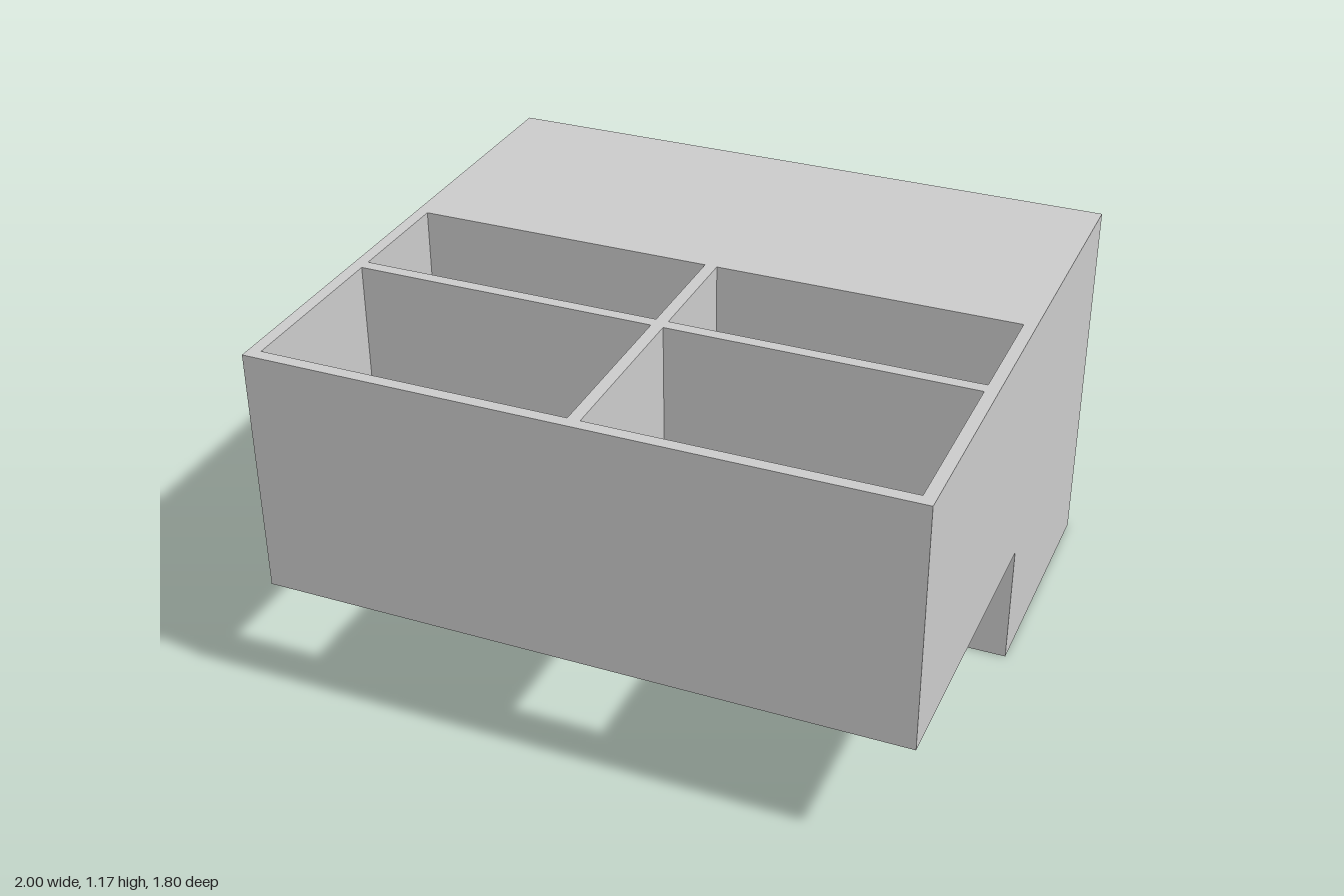
import * as THREE from 'three';

const T = 0.038;          // board thickness
const W = 2, H = 1.175;   // overall width and height
const TRAY_Y = 0.395;     // underside of the tray
const FRONT = 0.9, BACK = -0.9, STEP = -0.1; // z of front, back and the step

export function createModel() {
  const group = new THREE.Group();
  const material = new THREE.MeshStandardMaterial({ color: 0xcccccc });

  const add = (name, geometry) => {
    const mesh = new THREE.Mesh(geometry, material);
    mesh.name = name;
    group.add(mesh);
    return mesh;
  };
  // Board given by its extents on each axis
  const board = (name, [x0, x1], [y0, y1], [z0, z1]) =>
    add(name, new THREE.BoxGeometry(x1 - x0, y1 - y0, z1 - z0))
      .position.set((x0 + x1) / 2, (y0 + y1) / 2, (z0 + z1) / 2);

  // L-shaped side panels, drawn in (z, y) and extruded across x
  const profile = new THREE.Shape([
    [BACK, 0], [STEP, 0], [STEP, TRAY_Y], [FRONT, TRAY_Y], [FRONT, H], [BACK, H],
  ].map(([z, y]) => new THREE.Vector2(-z, y)));
  const side = new THREE.ExtrudeGeometry(profile, { depth: T, bevelEnabled: false });
  side.rotateY(Math.PI / 2);
  add('rightSide', side).position.x = -W / 2;
  add('leftSide', side).position.x = W / 2 - T;

  const inner = [-W / 2 + T, W / 2 - T];
  const trayY = [TRAY_Y, H];

  // Rear bay: top board and the full-height panel at the step
  board('topBoard', inner, [H - T, H], [BACK, STEP - T]);
  board('kneePanel', inner, [0, H], [STEP - T, STEP]);

  // Open compartments: front panel, cross divider and two centre dividers
  const crossZ = [0.27, 0.27 + T];
  board('frontPanel', inner, trayY, [FRONT - T, FRONT]);
  board('crossDivider', inner, trayY, crossZ);
  board('rearCentreDivider', [-T / 2, T / 2], trayY, [STEP, crossZ[0]]);
  board('frontCentreDivider', [-T / 2, T / 2], trayY, [crossZ[1], FRONT - T]);

  return group;
}
